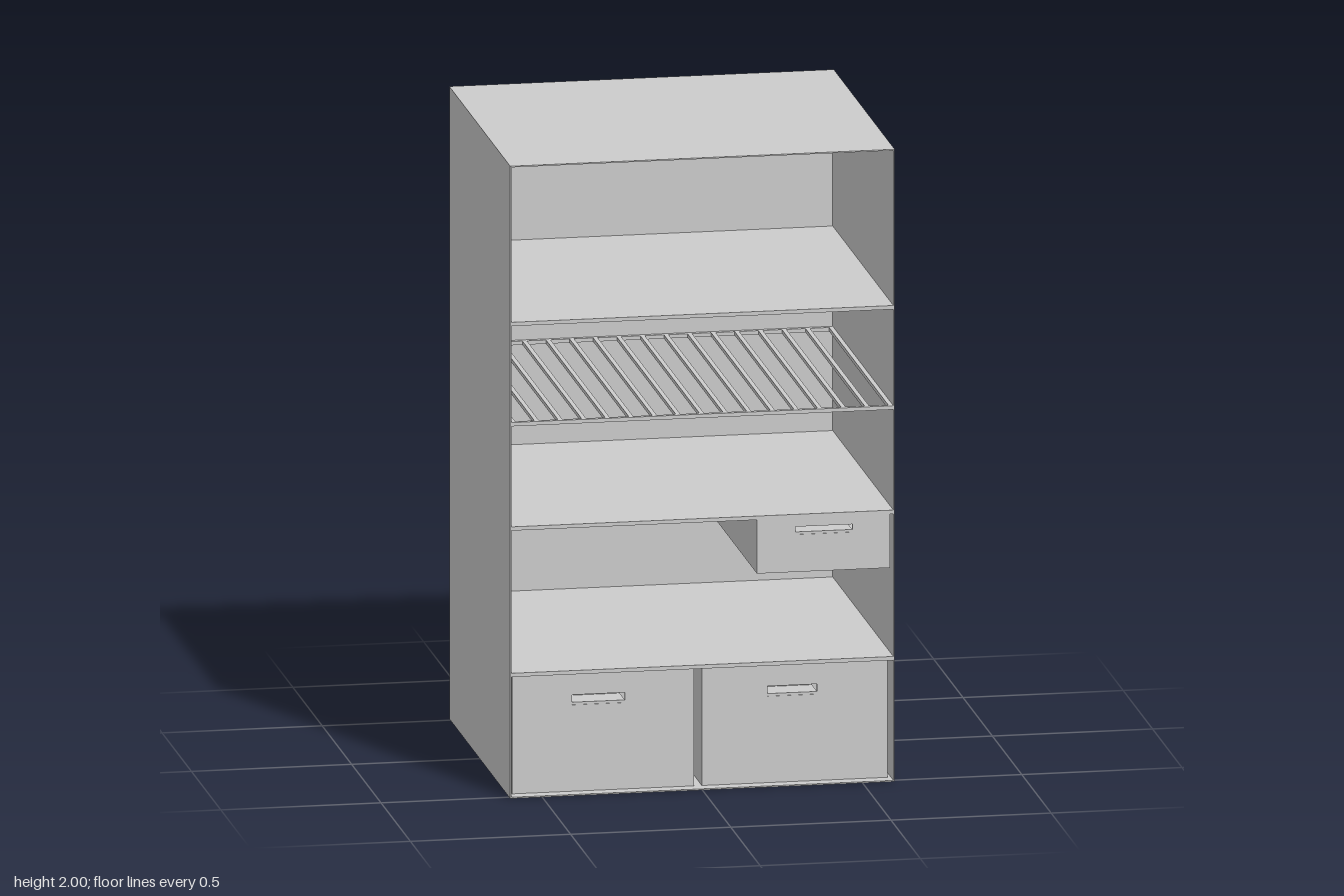
import * as THREE from 'three';

const W = 1.2, H = 2, D = 1.036, T = 0.004;
const material = new THREE.MeshStandardMaterial({ color: 0xcccccc });

// Box given by its minimum and maximum corners
function box(name, x0, x1, y0, y1, z0, z1) {
  const geometry = new THREE.BoxGeometry(x1 - x0, y1 - y0, z1 - z0);
  geometry.translate((x0 + x1) / 2, (y0 + y1) / 2, (z0 + z1) / 2);
  const mesh = new THREE.Mesh(geometry, material);
  mesh.name = name;
  return mesh;
}

function rectangle(Type, x0, x1, y0, y1) {
  return new Type([[x0, y0], [x1, y0], [x1, y1], [x0, y1]].map(([x, y]) => new THREE.Vector2(x, y)));
}

// Open-topped drawer with a recessed grip: [x0, x1, y0, y1] for front and grip
function drawer(name, [x0, x1, y0, y1], [gx0, gx1, gy0, gy1], zFront) {
  const group = new THREE.Group();
  group.name = name;
  const t = 0.01, zBack = -D / 2 + 0.02, zi = zFront - t, depth = 0.08;

  // Front panel with the grip opening
  const shape = rectangle(THREE.Shape, x0, x1, y0, y1);
  shape.holes.push(rectangle(THREE.Path, gx0, gx1, gy0, gy1));
  const geometry = new THREE.ExtrudeGeometry(shape, { depth: t, bevelEnabled: false });
  geometry.translate(0, 0, zi);
  const panel = new THREE.Mesh(geometry, material);
  panel.name = 'drawerFront';

  group.add(
    panel,
    box('drawerBottom', x0, x1, y0, y0 + t, zBack, zi),
    box('drawerBack', x0, x1, y0 + t, y1, zBack, zBack + t),
    box('drawerSideRight', x0, x0 + t, y0 + t, y1, zBack + t, zi),
    box('drawerSideLeft', x1 - t, x1, y0 + t, y1, zBack + t, zi),
    // Grip pocket
    box('gripFloor', gx0, gx1, gy0, gy0 + 0.008, zi - depth, zFront - 0.002),
    box('gripBack', gx0, gx1, gy0, gy1, zi - depth - T, zi - depth)
  );
  return group;
}

// Wire rack: a frame with bars running front to back
function rack(y) {
  const group = new THREE.Group();
  group.name = 'wireRack';
  const x = W / 2 - T, z = D / 2, y0 = y - 0.006, y1 = y + 0.006, r = 0.014, bars = 15;
  group.add(
    box('frontRail', -x, x, y0, y1, z - r, z),
    box('backRail', -x, x, y0, y1, -z + T, -z + T + r)
  );
  for (let i = 0; i <= bars + 1; i++) {
    const c = -x + r / 2 + (i * (2 * x - r)) / (bars + 1);
    group.add(box('rackBar', c - r / 2, c + r / 2, y0, y1, -z + T + r, z - r));
  }
  return group;
}

export function createModel() {
  const model = new THREE.Group();
  model.name = 'openCabinet';
  const x = W / 2, z = D / 2;

  // Thin shell, open at the front
  model.add(
    box('floor', -x, x, 0, T, -z, z),
    box('ceiling', -x, x, H - T, H, -z, z),
    box('backWall', -x, x, T, H - T, -z, -z + T)
  );
  for (const s of [-1, 1]) {
    const c = s * (x - T / 2);
    model.add(box(s > 0 ? 'leftWall' : 'rightWall', c - T / 2, c + T / 2, T, H - T, -z + T, z));
  }

  // Solid shelves
  for (const y of [0.39, 0.853, 1.5]) {
    model.add(box('shelf', -x + T, x - T, y - 0.006, y + 0.006, -z + T, z));
  }
  model.add(rack(1.183));

  // Two bottom drawers and a small one hung under the middle shelf
  model.add(
    drawer('bottomDrawerRight', [-0.587, -0.02, 0.005, 0.384], [-0.4, -0.235, 0.278, 0.31], 0.48),
    drawer('bottomDrawerLeft', [0.005, 0.585, 0.005, 0.384], [0.21, 0.365, 0.278, 0.31], 0.48),
    drawer('smallDrawer', [0.17, 0.585, 0.677, 0.847], [0.29, 0.468, 0.795, 0.82], z)
  );
  return model;
}
